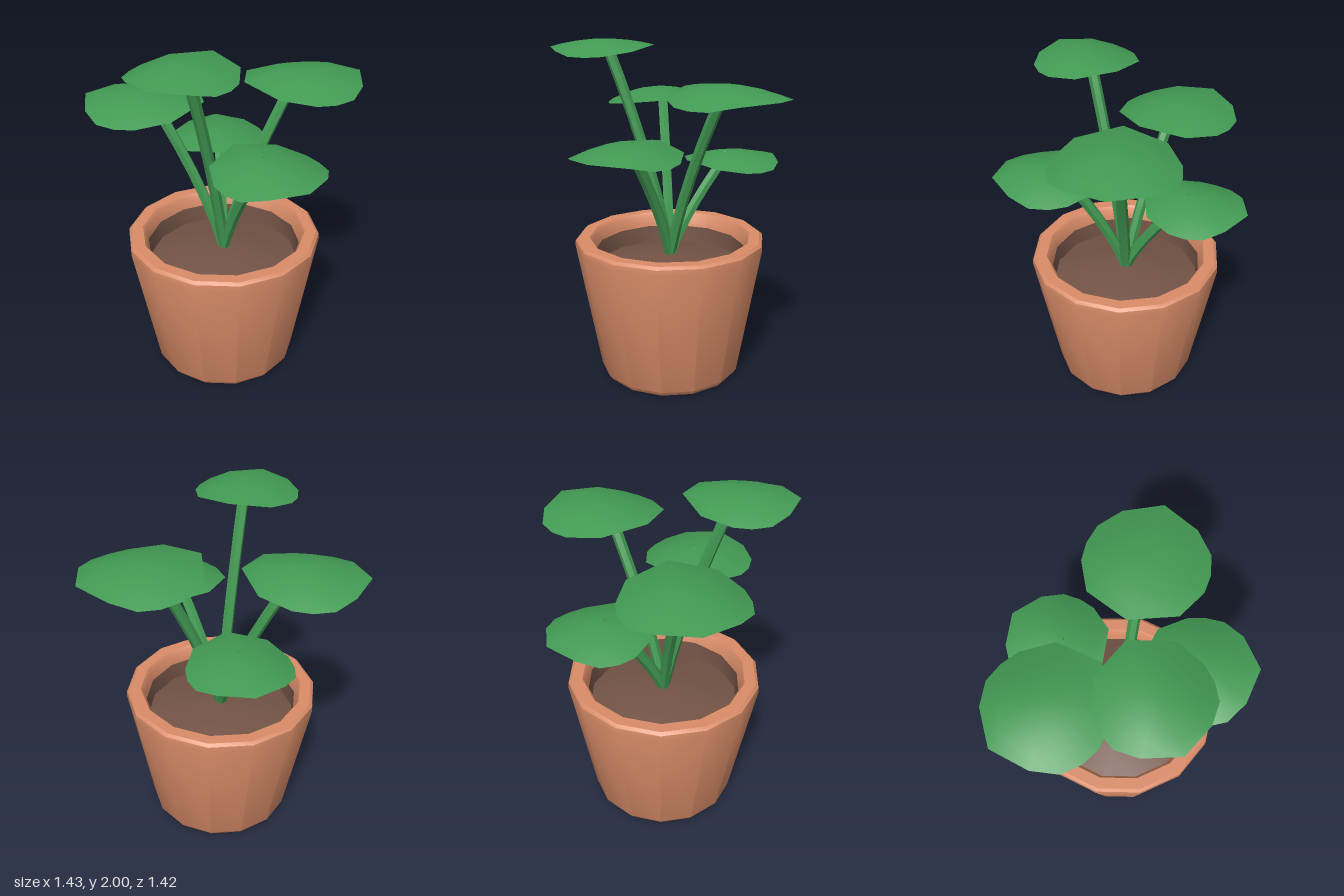
import * as THREE from 'three';
import { toCreasedNormals } from 'three/addons/utils/BufferGeometryUtils.js';

const terracotta = new THREE.MeshStandardMaterial({ color: 0xd98c68 });
terracotta.name = 'terracotta';
const earth = new THREE.MeshStandardMaterial({ color: 0x735346 });
earth.name = 'earth';
const green = new THREE.MeshStandardMaterial({ color: 0x429a53, side: THREE.DoubleSide });
green.name = 'leaf green';

const BASE = new THREE.Vector3(-0.03, 0, 0.08);

// 14-sided turned part with crisp rims
function turned(name, profile, material) {
  const points = profile.map(([r, y]) => new THREE.Vector2(r, y));
  const lathe = new THREE.LatheGeometry(points, 14, Math.PI / 2);
  const mesh = new THREE.Mesh(toCreasedNormals(lathe, 0.6), material);
  mesh.name = name;
  mesh.position.copy(BASE);
  return mesh;
}

// Half outline of a leaf, from the tip to the inner end (unit size)
const HALF = [[1, 0], [0.74, 0.6], [0.43, 0.9], [0.1, 0.98], [-0.22, 0.96], [-0.73, 0.71], [-1.04, 0]];
const OUTLINE = [...HALF, ...HALF.slice(1, -1).reverse().map(([u, v]) => [u, -v])];

// Thin leaf, drooping to both sides of its ridge
function leafGeometry(size) {
  const rings = 4, n = OUTLINE.length;
  const positions = [0, 0, 0], index = [];
  for (let r = 1; r <= rings; r++) {
    for (const [a, b] of OUTLINE) {
      const u = a * r / rings, v = b * r / rings;
      const drop = 0.092 * v * v + 0.04 * u * u + 0.01 * u;
      positions.push(u * size, -drop * size / 0.32, v * size);
    }
  }
  const at = (r, i) => 1 + (r - 1) * n + i % n;
  for (let i = 0; i < n; i++) {
    index.push(0, at(1, i + 1), at(1, i));
    for (let r = 1; r < rings; r++) {
      index.push(at(r, i), at(r, i + 1), at(r + 1, i));
      index.push(at(r, i + 1), at(r + 1, i + 1), at(r + 1, i));
    }
  }
  const geometry = new THREE.BufferGeometry();
  geometry.setAttribute('position', new THREE.Float32BufferAttribute(positions, 3));
  geometry.setIndex(index);
  geometry.computeVertexNormals();
  return geometry;
}

// Stem curving outward from the soil to the underside of its leaf
function stemGeometry(x, y, z) {
  const start = new THREE.Vector3(BASE.x, 0.73, BASE.z);
  const end = new THREE.Vector3(x, y - 0.015, z);
  end.x += (BASE.x - x) * 0.07;
  end.z += (BASE.z - z) * 0.07;
  const bend = new THREE.Vector3(
    THREE.MathUtils.lerp(start.x, end.x, 0.27),
    THREE.MathUtils.lerp(start.y, end.y, 0.45),
    THREE.MathUtils.lerp(start.z, end.z, 0.27));
  const tube = new THREE.TubeGeometry(new THREE.QuadraticBezierCurve3(start, bend, end), 6, 0.032, 6);
  return toCreasedNormals(tube, 0.6);
}

export function createModel() {
  const model = new THREE.Group();
  model.name = 'pottedPlant';

  model.add(turned('pot', [
    [0, 0], [0.405, 0], [0.427, 0.03], [0.565, 0.81], [0.562, 0.84], [0.545, 0.855],
    [0.48, 0.855], [0.465, 0.835], [0.45, 0.77],
  ], terracotta));
  model.add(turned('soil', [[0.45, 0.77], [0.44, 0.665], [0.25, 0.71], [0, 0.745]], earth));

  // Leaf centre x, top y, centre z, size, heading in degrees
  const leaves = [
    [0.4, 1.48, 0.08, 0.315, 0],
    [0.1, 1.79, -0.385, 0.342, 74.5],
    [-0.39, 1.33, -0.135, 0.295, 149],
    [-0.386, 1.68, 0.37, 0.342, 220],
    [0.14, 2, 0.43, 0.293, 296],
  ];
  for (const [x, y, z, size, heading] of leaves) {
    const shoot = new THREE.Group();
    shoot.name = 'shoot';
    const leaf = new THREE.Mesh(leafGeometry(size), green);
    leaf.name = 'leaf';
    leaf.position.set(x, y, z);
    leaf.rotation.y = THREE.MathUtils.degToRad(heading);
    const stem = new THREE.Mesh(stemGeometry(x, y, z), green);
    stem.name = 'stem';
    shoot.add(leaf, stem);
    model.add(shoot);
  }
  return model;
}
